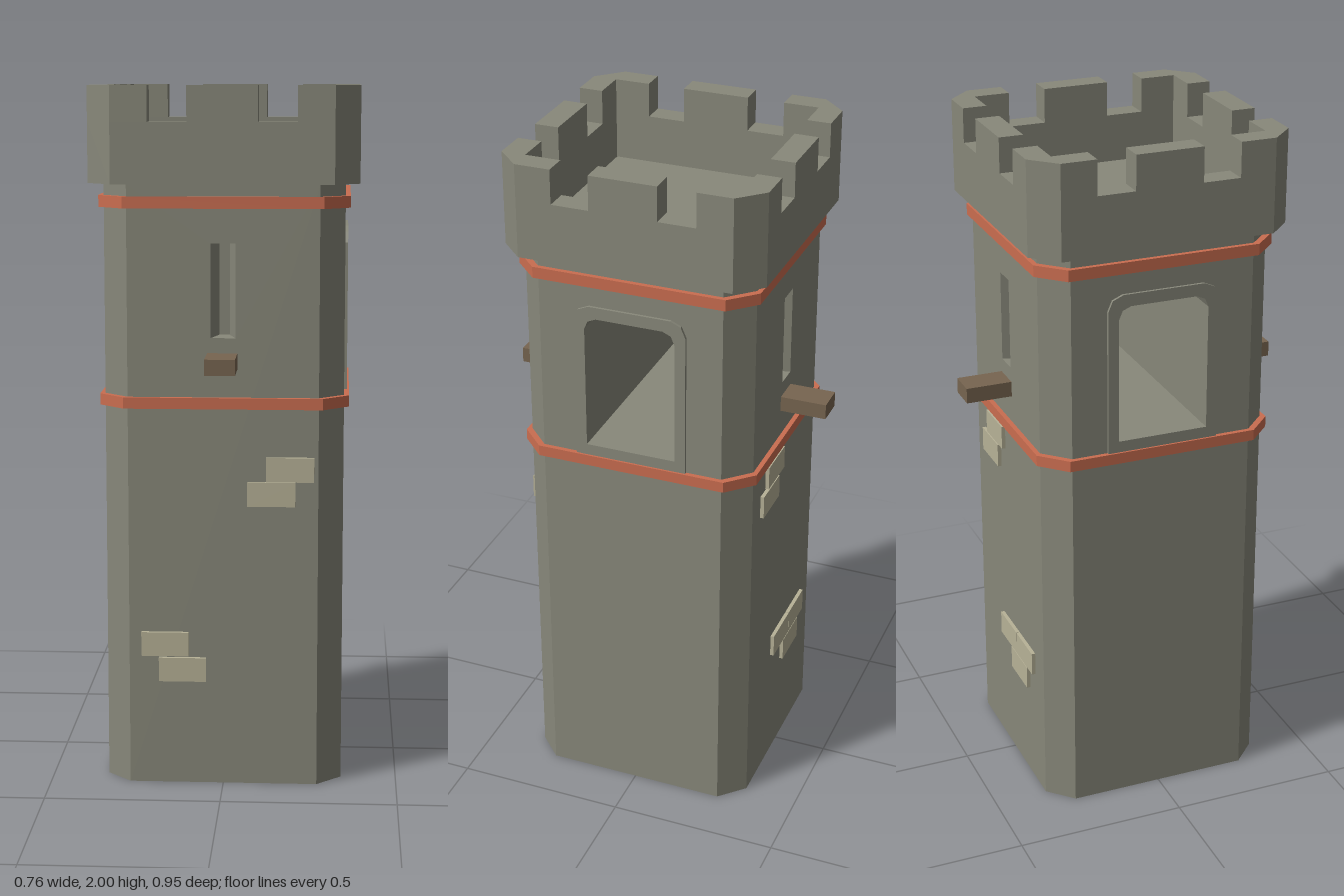
import * as THREE from 'three';

const mat = (name, color, side = THREE.FrontSide) => {
  const m = new THREE.MeshStandardMaterial({ color, side });
  m.name = name;
  return m;
};

const toShape = (pts) => new THREE.Shape(pts.map(([x, y]) => new THREE.Vector2(x, y)));

// Square outline of half width h with corners cut by c
const octagon = (h, c) => [
  [h - c, h], [-(h - c), h], [-h, h - c], [-h, -(h - c)],
  [-(h - c), -h], [h - c, -h], [h, -(h - c)], [h, h - c],
];
const rect = (w, y0, y1) => [[-w, y0], [w, y0], [w, y1], [-w, y1]];

// Opening outline with softened top corners
const arch = (w, y0, y1, r) => [
  [-w, y0], [w, y0], [w, y1 - r], [w - r * 0.3, y1 - r * 0.3],
  [w - r, y1], [-w + r, y1], [-w + r * 0.3, y1 - r * 0.3], [-w, y1 - r],
];

// Horizontal slab from a plan outline, between two heights
function slab(pts, y0, y1, hole) {
  const s = toShape(pts);
  if (hole) s.holes.push(toShape(hole));
  const g = new THREE.ExtrudeGeometry(s, { depth: y1 - y0, bevelEnabled: false });
  return g.rotateX(-Math.PI / 2).translate(0, y0, 0);
}

// Flat-shaded walls facing inward, between two matching outlines at depths za and zb
function loft(a, b, za, zb) {
  const v = [];
  a.forEach((p, i) => {
    const j = (i + 1) % a.length;
    const A = [...p, za], B = [...a[j], za], C = [...b[j], zb], D = [...b[i], zb];
    v.push(...A, ...B, ...C, ...A, ...C, ...D);
  });
  const g = new THREE.BufferGeometry();
  g.setAttribute('position', new THREE.Float32BufferAttribute(v, 3));
  g.computeVertexNormals();
  return g;
}

export function createModel() {
  const stone = mat('stone', 0x88887a);
  const wallStone = mat('wallStone', 0x88887a, THREE.DoubleSide);
  const brick = mat('paleBrick', 0xb7b297);
  const band = mat('terracotta', 0xca6d50);
  const wood = mat('wood', 0x776550);

  const root = new THREE.Group();
  root.name = 'tower';
  const add = (name, geo, material, parent = root) => {
    const m = new THREE.Mesh(geo, material);
    m.name = name;
    parent.add(m);
    return m;
  };

  const H = 0.34, C = 0.07, TOP = 1.73;
  const slit = rect(0.035, 1.3, 1.565), slitBack = rect(0.015, 1.3, 1.565);
  const opening = arch(0.133, 1.165, 1.565, 0.035);

  // Four walls with chamfered corners; slits front and back, windows on the sides
  for (let i = 0; i < 4; i++) {
    const side = new THREE.Group();
    side.name = ['frontWall', 'leftWall', 'backWall', 'rightWall'][i];
    side.rotation.y = (i * Math.PI) / 2;
    root.add(side);

    const panel = toShape(rect(H - C, 0, TOP));
    panel.holes.push(toShape(i % 2 ? opening : slit));
    add('wallPanel', new THREE.ShapeGeometry(panel).translate(0, 0, H), wallStone, side);

    const corner = new THREE.PlaneGeometry(C * Math.SQRT2, TOP);
    corner.rotateY(Math.PI / 4).translate(H - C / 2, TOP / 2, H - C / 2);
    add('cornerChamfer', corner, wallStone, side);

    if (i % 2) {
      // Thin raised surround
      const trim = toShape(arch(0.165, 1.13, 1.6, 0.045));
      trim.holes.push(toShape(opening));
      const g = new THREE.ExtrudeGeometry(trim, { depth: 0.008, bevelEnabled: false });
      add('windowSurround', g.translate(0, 0, H), stone, side);
    } else {
      // Tapering arrow slit and the beam below it
      add('slitSides', loft(slit, slitBack, H, 0.26), wallStone, side);
      add('slitBack', new THREE.ShapeGeometry(toShape(slitBack)).translate(0, 0, 0.26), wallStone, side);
      add('beam', new THREE.BoxGeometry(0.085, 0.045, 0.155).translate(-0.002, 1.235, 0.3975), wood, side);
    }
  }

  // Passage running between the two windows
  const passage = loft(opening, opening, H, -H).rotateY(Math.PI / 2);
  add('windowPassage', passage, wallStone);

  // Loose bricks: centre x, centre y, facing
  const bricks = [
    [0.19, 0.927, 1], [0.137, 0.856, 1], [-0.167, 0.415, 1], [-0.117, 0.34, 1],
    [0.095, 1.053, -1], [0.135, 0.978, -1],
    [0.008, 0.408, -1], [-0.13, 0.408, -1], [-0.083, 0.335, -1],
  ];
  for (const [x, y, s] of bricks) {
    add('brick', new THREE.BoxGeometry(0.136, 0.07, 0.03).translate(x, y, s * 0.336), brick);
  }

  // Terracotta bands
  for (const [y0, y1] of [[1.1, 1.132], [1.662, 1.695]]) {
    add('band', slab(octagon(0.354, 0.073), y0, y1, octagon(0.335, 0.069)), band);
  }

  // Crown: parapet ring, roof floor and merlons
  const O = 0.38, I = 0.31, E = 0.207, M = 0.098;
  const inner = [[-I, -I], [I, -I], [I, I], [-I, I]];
  add('parapet', slab(octagon(O, C), TOP, 1.9, inner), stone);
  add('roofFloor', slab(inner, TOP, 1.76), stone);
  const cornerPlan = [[E, O], [I, O], [O, I], [O, E], [I, E], [I, I], [E, I]];
  const middlePlan = [[-M, I], [M, I], [M, O], [-M, O]];
  for (let i = 0; i < 4; i++) {
    add('cornerMerlon', slab(cornerPlan, 1.9, 2), stone).rotation.y = (i * Math.PI) / 2;
    add('middleMerlon', slab(middlePlan, 1.9, 2), stone).rotation.y = (i * Math.PI) / 2;
  }
  return root;
}
